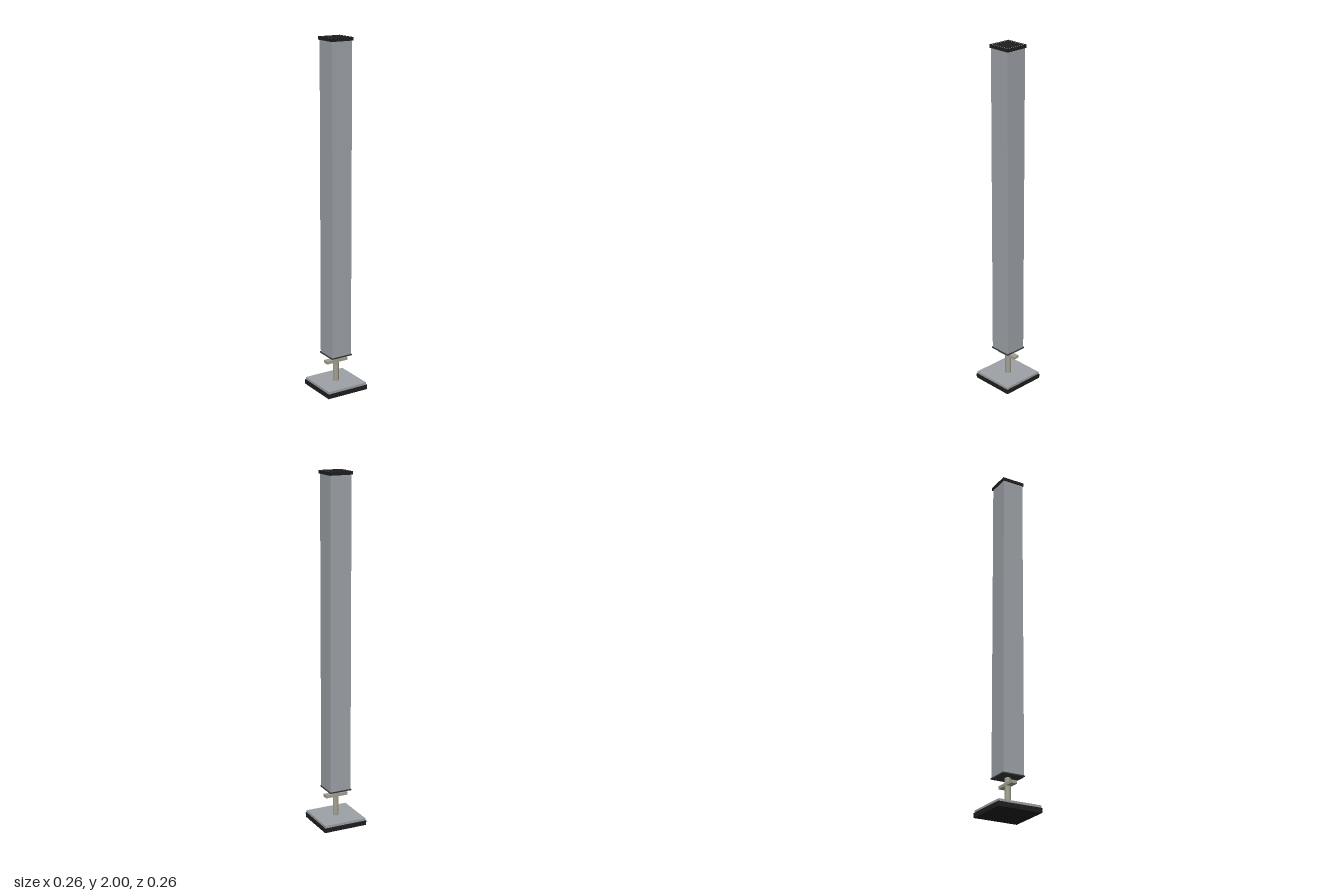
import * as THREE from 'three';

const material = (name, color) => {
  const m = new THREE.MeshStandardMaterial({ color });
  m.name = name;
  return m;
};

export function createModel() {
  const group = new THREE.Group();
  const grey = material('painted grey', 0x9da1a6);
  const black = material('black rubber', 0x1e1e1e);
  const dark = material('dark grey', 0x34373a);
  const steel = material('dull steel', 0xa3a091);

  const add = (name, geometry, mat, y) => {
    const mesh = new THREE.Mesh(geometry, mat);
    mesh.name = name;
    mesh.position.y = y;
    group.add(mesh);
    return mesh;
  };

  // Box given by its half width, half depth and vertical extent
  const block = (name, hx, hz, y0, y1, mat) =>
    add(name, new THREE.BoxGeometry(2 * hx, y1 - y0, 2 * hz), mat, (y0 + y1) / 2);

  // Square tube with an open middle, extruded upwards
  const square = (Type, h) => new Type([[-h, -h], [h, -h], [h, h], [-h, h]]
    .map(([x, y]) => new THREE.Vector2(x, y)));
  const frame = (name, outer, inner, y0, y1, mat) => {
    const shape = square(THREE.Shape, outer);
    shape.holes.push(square(THREE.Path, inner));
    const geometry = new THREE.ExtrudeGeometry(shape, { depth: y1 - y0, bevelEnabled: false });
    geometry.rotateX(-Math.PI / 2);
    return add(name, geometry, mat, y0);
  };

  // Foot: rubber pad under a steel plate
  block('footPad', 0.13, 0.13, 0, 0.026, black);
  block('footPlate', 0.126, 0.126, 0.026, 0.04, grey);

  // Adjusting screw and its turning bar
  add('screw', new THREE.CylinderGeometry(0.017, 0.017, 0.17, 24), steel, 0.125);
  block('turningBar', 0.068, 0.017, 0.155, 0.172, steel);

  // Square post with its end plate
  block('endPlate', 0.066, 0.066, 0.2, 0.207, dark);
  frame('post', 0.0625, 0.056, 0.207, 1.999, grey);

  // Top cap: collar around the post and plug inside it
  frame('capCollar', 0.068, 0.0625, 1.982, 2, black);
  block('capPlug', 0.056, 0.056, 1.982, 2, black);

  return group;
}
